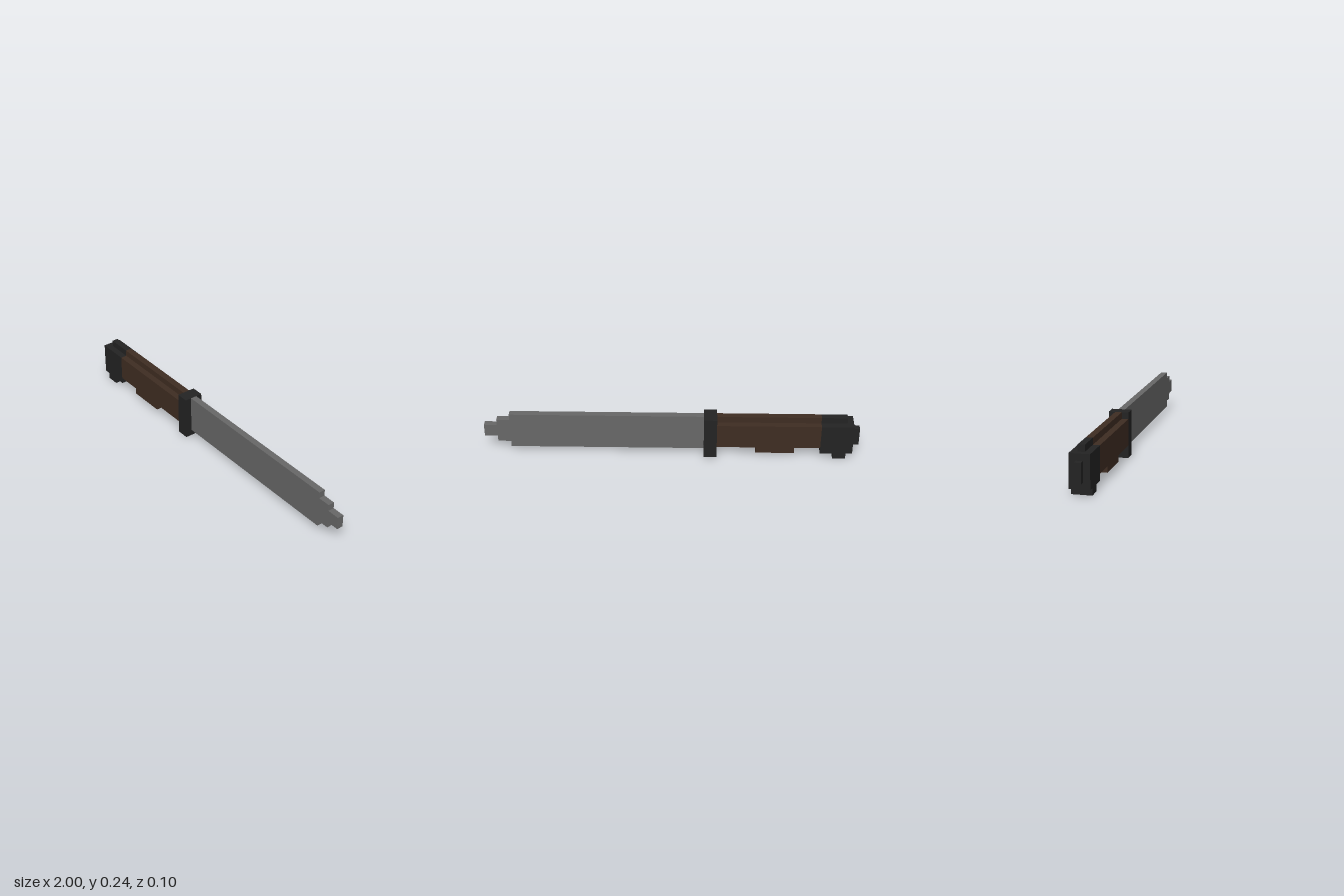
import * as THREE from 'three';

const U = 2 / 58; // one grid step: the model is 58 long, 7 high, 3 deep

const material = (name, color) => {
  const m = new THREE.MeshStandardMaterial({ color });
  m.name = name;
  return m;
};

export function createModel() {
  const steel = material('steel grey', 0x686868);
  const wood = material('dark brown wood', 0x3f2d22);
  const black = material('black metal', 0x232323);

  const knife = new THREE.Group();
  knife.name = 'knife';

  // Stepped side profile in grid steps, extruded evenly about z = 0
  function slab(name, mat, depth, points) {
    const shape = new THREE.Shape(points.map(([x, y]) => new THREE.Vector2((x - 29) * U, y * U)));
    const geo = new THREE.ExtrudeGeometry(shape, { depth: depth * U, bevelEnabled: false });
    geo.translate(0, 0, -depth * U / 2);
    const mesh = new THREE.Mesh(geo, mat);
    mesh.name = name;
    knife.add(mesh);
  }
  const rect = (x0, x1, y0, y1) => [[x0, y0], [x1, y0], [x1, y1], [x0, y1]];

  // Blade with a tip that narrows in two steps
  slab('blade', steel, 1, [
    [24, 1], [54, 1], [54, 2], [56, 2], [56, 3], [58, 3],
    [58, 5], [56, 5], [56, 6], [54, 6], [54, 7], [24, 7],
  ]);

  // Guard
  slab('guard', black, 3, rect(22, 24, 0, 7));

  // Grip with a finger swell below and a narrow ridge on top
  slab('grip', wood, 3, [
    [6, 2], [10, 2], [10, 1], [16, 1], [16, 2], [22, 2], [22, 6], [6, 6],
  ]);
  slab('gripRidge', wood, 1, rect(6, 22, 6, 7));

  // Pommel with a hooked underside, top ridge and narrow end cap
  slab('pommel', black, 3, [
    [1, 1], [2, 1], [2, 0], [4, 0], [4, 1], [6, 1], [6, 6], [1, 6],
  ]);
  slab('pommelRidge', black, 1, rect(2, 6, 6, 7));
  slab('pommelCap', black, 1, rect(0, 1, 2, 5));

  return knife;
}
